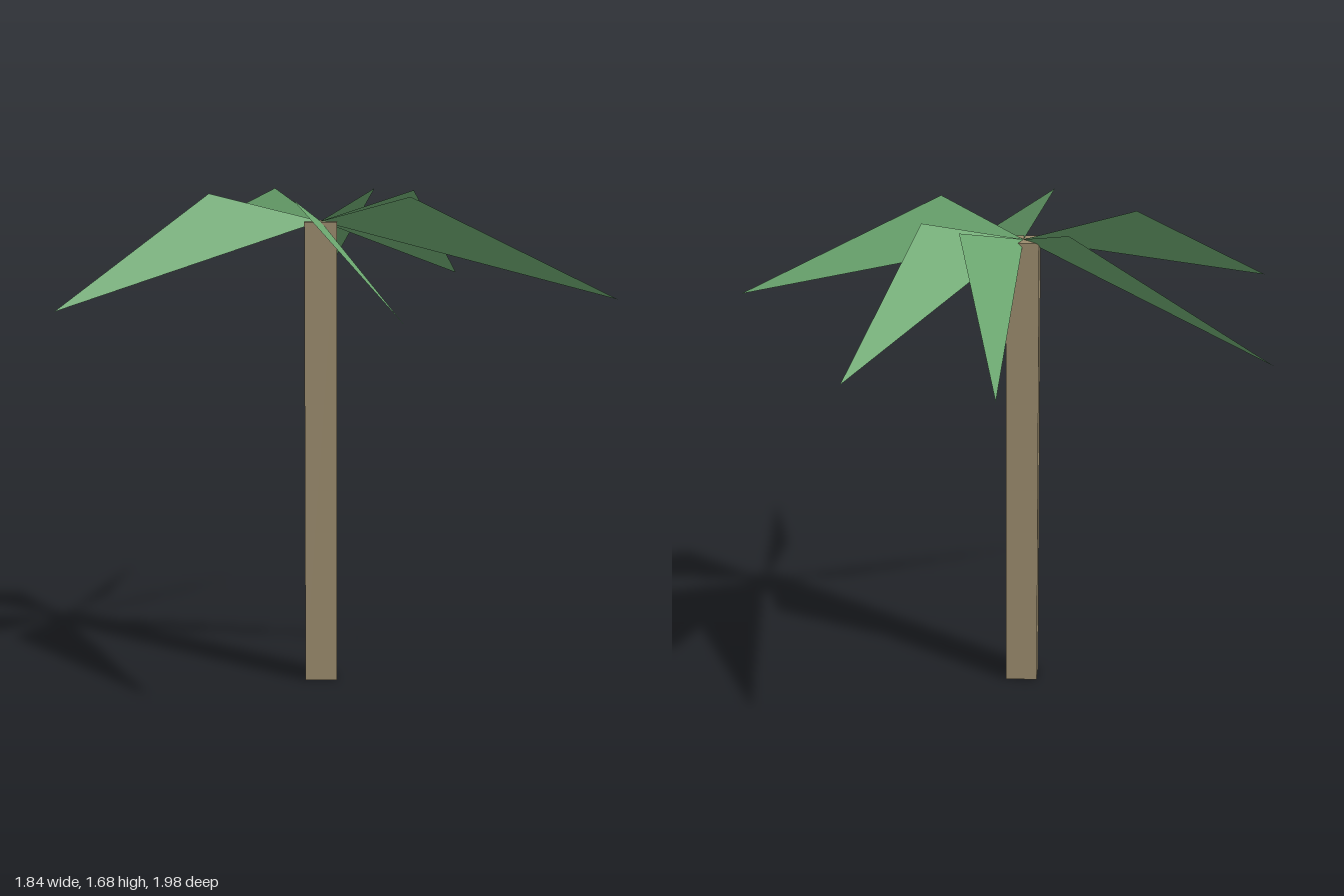
import * as THREE from 'three';

export function createModel() {
  const bark = new THREE.MeshStandardMaterial({ color: 0x998a6c });
  bark.name = 'bark brown';
  const green = new THREE.MeshStandardMaterial({ color: 0x6ba66f, side: THREE.DoubleSide });
  green.name = 'frond green';

  const palm = new THREE.Group();
  palm.name = 'palmTree';
  const cx = -0.08, cz = 0.015, height = 1.59;

  // Square trunk
  const trunk = new THREE.Mesh(new THREE.BoxGeometry(0.11, height, 0.11), bark);
  trunk.name = 'trunk';
  trunk.position.set(cx, height / 2, cz);
  palm.add(trunk);

  // Flat triangular fronds: crown point, raised shoulder, drooping tip
  const crown = new THREE.Group();
  crown.name = 'crown';
  crown.position.set(cx, height, cz);
  palm.add(crown);

  const polar = (degrees, radius, y) => {
    const a = THREE.MathUtils.degToRad(degrees);
    return new THREE.Vector3(Math.cos(a) * radius, y, Math.sin(a) * radius);
  };
  [10, 75.5, 146.8, 216.3, 271.8, 300.6].forEach((angle, i) => {
    const geometry = new THREE.BufferGeometry().setFromPoints([
      new THREE.Vector3(),
      polar(angle + 28.5, 0.378, 0.095),
      polar(angle, 1.008, -0.25),
    ]);
    geometry.computeVertexNormals();
    const frond = new THREE.Mesh(geometry, green);
    frond.name = `frond${i + 1}`;
    crown.add(frond);
  });

  return palm;
}
